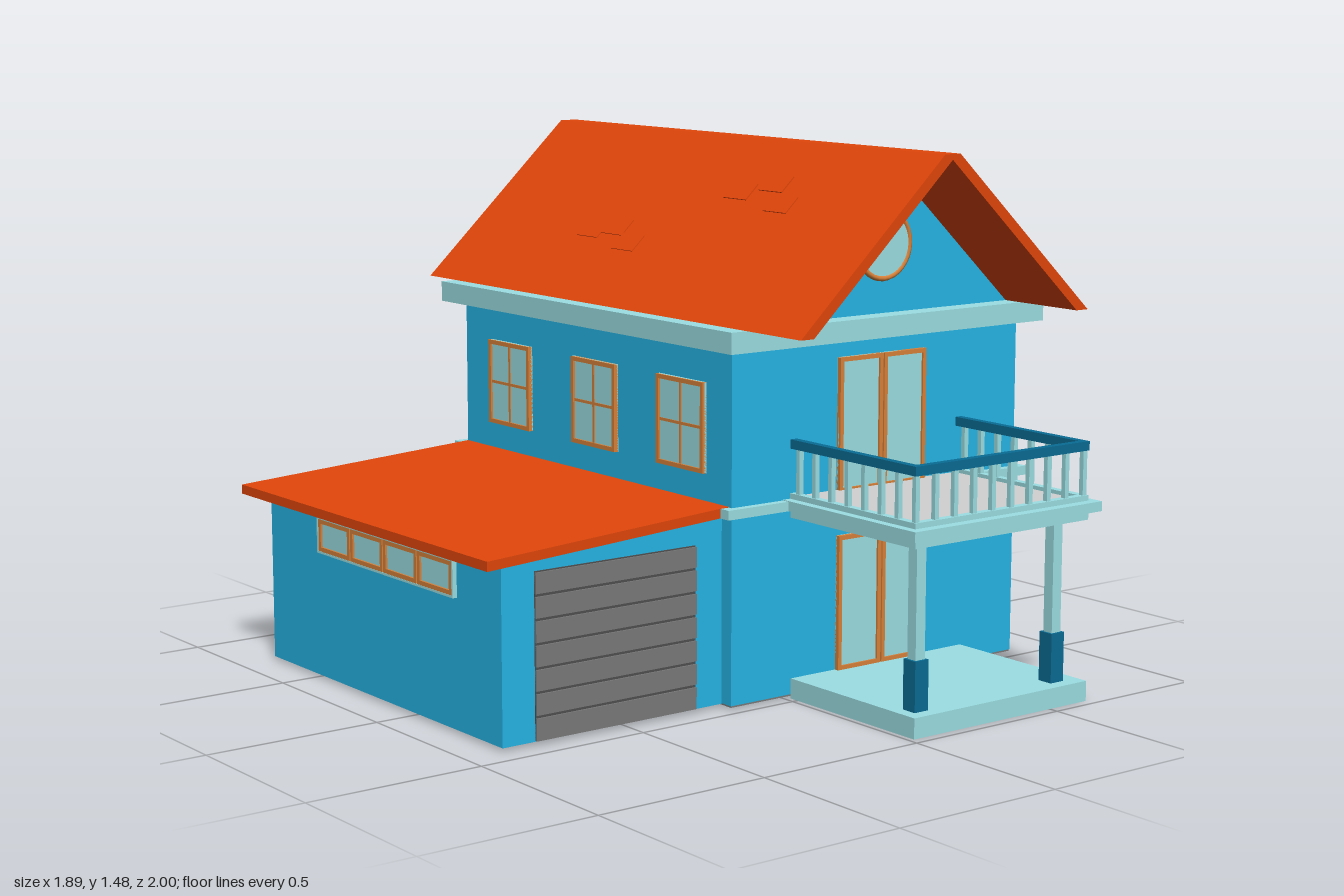
import * as THREE from 'three';

const mat = (name, color) => Object.assign(new THREE.MeshStandardMaterial({ color }), { name });

export function createModel() {
  const M = {
    wall: mat('blue wall', 0x26b5e6),
    trim: mat('pale teal trim', 0x9bdfe4),
    roof: mat('orange roof', 0xe2460a),
    frame: mat('tan window frame', 0xd9823a),
    stone: mat('light grey stone', 0xd2d2d2),
    grey: mat('mid grey', 0x7a7a7a),
    groove: mat('garage door groove', 0x505050),
    navy: mat('deep blue', 0x096c94),
  };
  const house = new THREE.Group();
  house.name = 'house';

  const add = (name, geo, m, parent = house) => {
    const mesh = new THREE.Mesh(geo, m);
    mesh.name = name;
    parent.add(mesh);
    return mesh;
  };
  // Box given by its limits on each axis
  const box = (name, m, x0, x1, y0, y1, z0, z1, parent) => {
    const b = add(name, new THREE.BoxGeometry(x1 - x0, y1 - y0, z1 - z0), m, parent);
    b.position.set((x0 + x1) / 2, (y0 + y1) / 2, (z0 + z1) / 2);
    return b;
  };
  // Front outline extruded from z0 to z1
  const prism = (name, m, pts, z0, z1) => {
    const shape = new THREE.Shape(pts.map(p => new THREE.Vector2(...p)));
    const p = add(name, new THREE.ExtrudeGeometry(shape, { depth: z1 - z0, bevelEnabled: false }), m);
    p.position.z = z0;
    return p;
  };
  // Upright hollow rectangular tube
  const hollow = (name, m, x0, x1, y0, y1, z0, z1, t) => {
    const rect = (C, a, b, c, d) => new C([[a, c], [b, c], [b, d], [a, d]].map(p => new THREE.Vector2(...p)));
    const s = rect(THREE.Shape, x0, x1, -z1, -z0);
    s.holes.push(rect(THREE.Path, x0 + t, x1 - t, -z1 + t, -z0 - t));
    const g = new THREE.ExtrudeGeometry(s, { depth: y1 - y0, bevelEnabled: false });
    g.rotateX(-Math.PI / 2);
    add(name, g, m).position.y = y0;
  };
  // Framed window facing +z before turning
  const win = (name, w, h, cols, rows, pos, turn = 0) => {
    const g = new THREE.Group();
    g.name = name;
    const f = 0.012, d = 0.014;
    box('glass', M.trim, -w / 2, w / 2, -h / 2, h / 2, 0, 0.008, g);
    for (const s of [-1, 1]) {
      const x = s * (w - f) / 2, y = s * (h - f) / 2;
      box('frameSide', M.frame, x - f / 2, x + f / 2, -h / 2, h / 2, 0, d, g);
      box('frameRail', M.frame, -w / 2 + f, w / 2 - f, y - f / 2, y + f / 2, 0, d, g);
    }
    for (let i = 1; i < cols; i++) {
      const x = -w / 2 + w * i / cols;
      box('mullion', M.frame, x - 0.004, x + 0.004, -h / 2 + f, h / 2 - f, 0, 0.011, g);
    }
    for (let i = 1; i < rows; i++) {
      const y = -h / 2 + h * i / rows;
      box('crossbar', M.frame, -w / 2 + f, w / 2 - f, y - 0.004, y + 0.004, 0, 0.0105, g);
    }
    g.position.set(...pos);
    g.rotation.y = turn;
    house.add(g);
  };

  // Main block, bands and gables
  box('mainWalls', M.wall, -0.189, 0.83, 0.012, 1.0, -0.8, 0.472);
  box('baseFloor', M.grey, -0.187, 0.828, 0.007, 0.012, -0.798, 0.47);
  box('middleBand', M.trim, -0.217, 0.857, 0.524, 0.55, -0.83, 0.495);
  box('eaveBand', M.trim, -0.238, 0.877, 0.969, 1.027, -0.858, 0.532);
  prism('gableWalls', M.wall, [[-0.163, 1.02], [0.808, 1.02], [0.323, 1.465]], -0.8, 0.472);

  // Main roof
  prism('mainRoof', M.roof, [[-0.188, 1.027], [-0.145, 1.027], [0.322, 1.46], [0.788, 1.027],
    [0.83, 1.027], [0.349, 1.475], [0.295, 1.475]], -1, 0.752);
  // Raised shingles: slope side, distance along the slope from mid, z
  const slopes = {};
  for (const s of [-1, 1]) {
    const g = slopes[s] = new THREE.Group();
    g.name = s > 0 ? 'leftSlopeShingles' : 'rightSlopeShingles';
    g.position.set(0.322 + s * 0.268, 1.251, 0);
    g.rotation.z = -s * 0.751;
    house.add(g);
  }
  for (const [s, u, z] of [[1, -0.13, 0.24], [1, -0.19, 0.31], [1, -0.17, 0.12], [1, 0.19, 0.0], [1, 0.13, 0.05],
    [1, -0.13, -0.25], [1, -0.08, -0.31], [1, -0.1, -0.43], [-1, -0.05, -0.32], [-1, -0.1, -0.22],
    [-1, -0.07, -0.42], [-1, 0.17, 0.2], [-1, 0.1, 0.28], [-1, 0.13, 0.08]]) {
    box('shingle', M.roof, u - 0.03, u + 0.03, -0.004, 0.003, z - 0.05, z + 0.05, slopes[s]);
  }

  // Round gable window
  const ring = add('roundWindowFrame', new THREE.TorusGeometry(0.093, 0.008, 8, 32), M.frame);
  ring.position.set(0.327, 1.215, 0.476);
  const disc = add('roundWindowGlass', new THREE.CylinderGeometry(0.093, 0.093, 0.008, 32), M.trim);
  disc.rotation.x = Math.PI / 2;
  disc.position.set(0.327, 1.215, 0.476);

  // Windows on both side walls
  for (const z of [0.253, -0.566]) {
    for (const y of [0.305, 0.75]) win('leftWindow', 0.208, 0.245, 2, 2, [0.83, y, z], Math.PI / 2);
  }
  for (const z of [0.26, -0.14, -0.56]) win('rightWindow', 0.208, 0.245, 2, 2, [-0.189, 0.75, z], -Math.PI / 2);

  // Double doors on both floors
  for (const [y, h] of [[0.243, 0.375], [0.735, 0.37]]) {
    for (const s of [-1, 1]) win('doorLeaf', 0.152, h, 1, 1, [0.326 + s * 0.078, y, 0.472]);
  }

  // Garage
  prism('garageWalls', M.wall, [[-0.89, 0.01], [-0.189, 0.01], [-0.189, 0.532], [-0.89, 0.487]], -0.74, 0.43);
  prism('garageRoof', M.roof, [[-0.95, 0.48], [-0.189, 0.526], [-0.189, 0.552], [-0.95, 0.506]], -0.8, 0.46);
  box('garageDoorBack', M.groove, -0.79, -0.278, 0.012, 0.455, 0.43, 0.433);
  for (let i = 0; i < 7; i++) {
    const y = 0.012 + i * 0.0634;
    box('garageDoorPanel', M.grey, -0.79, -0.278, y + (i ? 0.004 : 0), y + 0.0594, 0.43, 0.438);
  }
  // Garage window strip in a pale surround
  for (let i = 0; i < 4; i++) {
    win('garageWindow', 0.165, 0.09, 1, 1, [-0.888, 0.413, -0.375 + i * 0.17], -Math.PI / 2);
  }
  for (const y of [0.362, 0.458]) box('garageWindowSurround', M.trim, -0.903, -0.89, y, y + 0.006, -0.465, 0.225);
  for (const z of [-0.465, 0.219]) box('garageWindowSurround', M.trim, -0.903, -0.89, 0.368, 0.458, z, z + 0.006);

  // Porch and posts
  box('porchSlab', M.trim, 0.016, 0.635, 0, 0.056, 0.472, 0.972);
  for (const s of [-1, 1]) {
    const x = 0.317 + s * 0.244;
    box('postBase', M.navy, x - 0.023, x + 0.023, 0.056, 0.192, 0.889, 0.935);
    box('post', M.trim, x - 0.016, x + 0.016, 0.192, 0.505, 0.896, 0.928);
  }

  // Balcony with railing
  box('balconyBeam', M.trim, 0.012, 0.628, 0.5, 0.526, 0.472, 0.972);
  box('balconySlab', M.trim, -0.015, 0.65, 0.525, 0.552, 0.472, 1);
  box('balconyFloor', M.stone, 0.032, 0.603, 0.552, 0.557, 0.472, 0.949);
  for (const [name, m, y0, y1] of [['bottomRail', M.trim, 0.552, 0.567], ['handRail', M.navy, 0.688, 0.713]]) {
    box(name, m, 0.01, 0.627, y0, y1, 0.95, 0.972);
    box(name, m, 0.01, 0.032, y0, y1, 0.472, 0.95);
    box(name, m, 0.605, 0.627, y0, y1, 0.472, 0.95);
  }
  const baluster = (x, z) => box('baluster', M.trim, x - 0.007, x + 0.007, 0.567, 0.688, z - 0.007, z + 0.007);
  for (let i = 0; i <= 9; i++) baluster(0.021 + i * 0.595 / 9, 0.961);
  for (let i = 1; i <= 7; i++) for (const x of [0.021, 0.616]) baluster(x, 0.961 - i * 0.066);

  // Chimney: tapered foot, hollow shaft, cap
  const foot = new THREE.BoxGeometry(1, 0.51, 1);
  const p = foot.attributes.position;
  for (let i = 0; i < p.count; i++) {
    const low = p.getY(i) < 0;
    p.setX(i, p.getX(i) < 0 ? 0.766 : low ? 0.945 : 0.903);
    p.setZ(i, -0.118 + Math.sign(p.getZ(i)) * (low ? 0.112 : 0.067));
  }
  foot.computeVertexNormals();
  add('chimneyFoot', foot, M.stone).position.y = 0.265;
  hollow('chimneyShaft', M.stone, 0.766, 0.903, 0.52, 1.3, -0.187, -0.053, 0.008);
  box('chimneyFlueFloor', M.stone, 0.772, 0.897, 1.12, 1.13, -0.181, -0.059);
  hollow('chimneyCap', M.stone, 0.749, 0.92, 1.288, 1.313, -0.205, -0.033, 0.023);

  return house;
}
